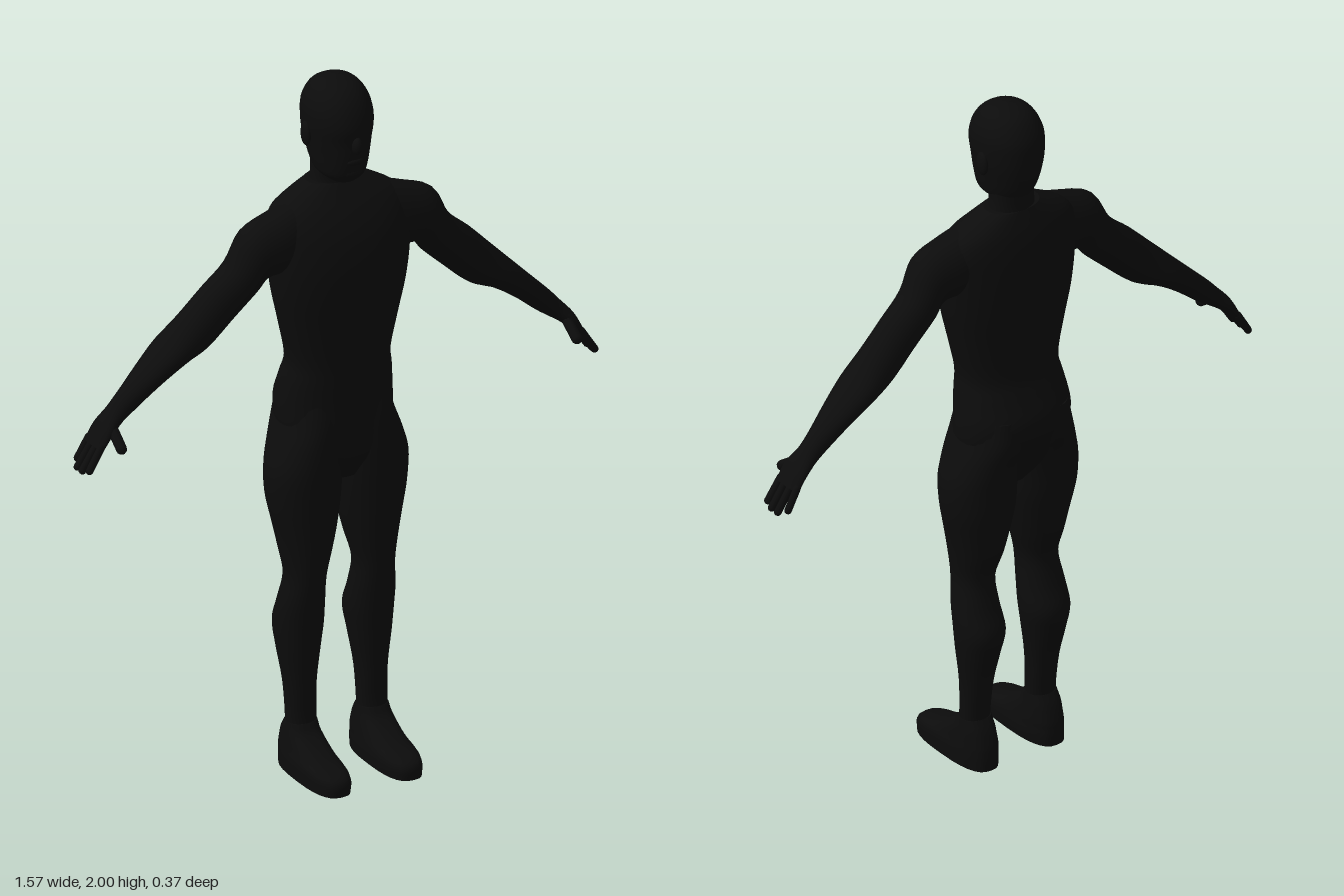
import * as THREE from 'three';

const skin = new THREE.MeshStandardMaterial({ color: 0x0c0c0c });
skin.name = 'matte black';

const V = (x, y, z) => new THREE.Vector3(x, y, z);

// Level cross-section at height y, from its extents in x and z
const level = (y, x0, x1, z0, z1) => ({
  c: V((x0 + x1) / 2, y, (z0 + z1) / 2), u: V((x1 - x0) / 2, 0, 0), v: V(0, 0, (z1 - z0) / 2),
});
// Symmetric level cross-section
const mid = (y, w, z0, z1) => level(y, -w, w, z0, z1);
// Slanted arm cross-section, from its outer and inner points plus depth in z
const slant = (xo, yo, xi, yi, z, h) => ({
  c: V((xo + xi) / 2, (yo + yi) / 2, z), u: V((xo - xi) / 2, (yo - yi) / 2, 0), v: V(0, 0, h),
});
const flip = (p) => V(-p.x, p.y, p.z);

// Smooth skin through superelliptic cross-sections, with closed ends
function loft(name, sections, { side = 1, power = 2, steps = 4, seg = 28 } = {}) {
  const s = side > 0 ? sections : sections.map((o) => ({ c: flip(o.c), u: flip(o.u), v: flip(o.v) }));
  const [C, U, W] = ['c', 'u', 'v'].map((k) => new THREE.CatmullRomCurve3(s.map((o) => o[k]), false, 'catmullrom', 0.5));
  const n = (s.length - 1) * steps;
  const path = s[s.length - 1].c.clone().sub(s[0].c);
  const sign = path.dot(s[0].v.clone().cross(s[0].u)) < 0 ? -1 : 1;
  const pos = [], idx = [];
  const ring = (t) => {
    const c = C.getPoint(t), u = U.getPoint(t), v = W.getPoint(t);
    const start = pos.length / 3;
    for (let j = 0; j < seg; j++) {
      const a = (j / seg) * Math.PI * 2;
      const bend = (k) => Math.sign(k) * Math.pow(Math.abs(k), 2 / power);
      const p = c.clone().addScaledVector(u, bend(Math.cos(a))).addScaledVector(v, sign * bend(Math.sin(a)));
      pos.push(p.x, p.y, p.z);
    }
    return start;
  };
  for (let i = 0; i <= n; i++) ring(i / n);
  for (let i = 0; i < n; i++) {
    for (let j = 0; j < seg; j++) {
      const a = i * seg + j, b = i * seg + ((j + 1) % seg);
      idx.push(a, a + seg, b, b, a + seg, b + seg);
    }
  }
  for (const t of [0, 1]) {
    const r = ring(t), c = C.getPoint(t), m = pos.length / 3;
    pos.push(c.x, c.y, c.z);
    for (let j = 0; j < seg; j++) {
      const a = r + j, b = r + ((j + 1) % seg);
      if (t) idx.push(m, b, a); else idx.push(m, a, b);
    }
  }
  const g = new THREE.BufferGeometry();
  g.setAttribute('position', new THREE.Float32BufferAttribute(pos, 3));
  g.setIndex(idx);
  g.computeVertexNormals();
  return part(name, g);
}

function part(name, geometry) {
  const m = new THREE.Mesh(geometry, skin);
  m.name = name;
  return m;
}

// Rounded bar between two points
function digit(name, a, b, r) {
  const m = part(name, new THREE.CapsuleGeometry(r, a.distanceTo(b) - r, 4, 10));
  m.position.copy(a).lerp(b, 0.5);
  m.quaternion.setFromUnitVectors(V(0, 1, 0), b.clone().sub(a).normalize());
  return m;
}

function blob(name, x, y, z, rx, ry, rz) {
  const m = part(name, new THREE.SphereGeometry(1, 16, 12));
  m.position.set(x, y, z);
  m.scale.set(rx, ry, rz);
  return m;
}

function arm(side) {
  const g = new THREE.Group();
  g.name = side > 0 ? 'leftArm' : 'rightArm';
  g.add(loft('armAndPalm', [
    slant(0.12, 1.67, 0.12, 1.49, -0.035, 0.07),
    slant(0.2, 1.645, 0.17, 1.47, -0.03, 0.072),
    slant(0.284, 1.61, 0.225, 1.465, -0.028, 0.066),
    slant(0.333, 1.525, 0.256, 1.43, -0.033, 0.06),
    slant(0.4, 1.465, 0.32, 1.37, -0.037, 0.057),
    slant(0.47, 1.395, 0.4, 1.3, -0.041, 0.06),
    slant(0.53, 1.335, 0.47, 1.268, -0.046, 0.065),
    slant(0.59, 1.275, 0.54, 1.222, -0.047, 0.053),
    slant(0.65, 1.215, 0.61, 1.165, -0.048, 0.037),
    slant(0.685, 1.176, 0.65, 1.137, -0.048, 0.035),
    slant(0.718, 1.138, 0.69, 1.108, -0.045, 0.045),
    slant(0.744, 1.088, 0.72, 1.074, -0.045, 0.046),
  ], { side }));
  // Fingers: z and tip position
  [[-0.085, 0.762, 1.03], [-0.059, 0.777, 1.018], [-0.032, 0.777, 1.018], [-0.006, 0.77, 1.025]].forEach(([z, x, y]) => {
    g.add(digit('finger', V(side * 0.725, 1.095, z * 0.9 - 0.005), V(side * x, y, z), 0.0105));
  });
  g.add(digit('thumb', V(side * 0.69, 1.13, -0.02), V(side * 0.692, 1.088, 0.038), 0.015));
  return g;
}

function leg(side) {
  const g = new THREE.Group();
  g.name = side > 0 ? 'leftLeg' : 'rightLeg';
  g.add(loft('legShaft', [
    level(0.07, 0.067, 0.152, -0.085, 0.02),
    level(0.14, 0.066, 0.15, -0.075, 0),
    level(0.25, 0.063, 0.153, -0.09, 0.001),
    level(0.35, 0.05, 0.166, -0.115, 0.01),
    level(0.42, 0.041, 0.172, -0.13, 0.018),
    level(0.49, 0.045, 0.169, -0.104, 0.028),
    level(0.57, 0.049, 0.159, -0.087, 0.04),
    level(0.65, 0.03, 0.17, -0.11, 0.05),
    level(0.72, 0.014, 0.184, -0.125, 0.056),
    level(0.8, 0.001, 0.2, -0.14, 0.061),
    level(0.88, -0.003, 0.203, -0.145, 0.065),
    level(0.95, -0.003, 0.185, -0.158, 0.066),
    level(1.02, 0, 0.16, -0.174, 0.063),
    level(1.09, 0.01, 0.145, -0.165, 0.05),
  ], { side, power: 2.15 }));
  g.add(loft('foot', [
    level(0, 0.053, 0.164, -0.113, 0.187),
    level(0.03, 0.051, 0.165, -0.114, 0.188),
    level(0.05, 0.053, 0.164, -0.113, 0.168),
    level(0.07, 0.056, 0.16, -0.11, 0.1),
    level(0.11, 0.062, 0.155, -0.095, 0.025),
    level(0.14, 0.066, 0.15, -0.075, 0),
  ], { side, power: 2.7 }));
  return g;
}

export function createModel() {
  const model = new THREE.Group();
  model.name = 'figure';

  model.add(loft('torso', [
    mid(0.85, 0.05, -0.09, 0.03),
    mid(0.92, 0.13, -0.14, 0.06),
    mid(1.0, 0.161, -0.168, 0.066),
    mid(1.07, 0.163, -0.181, 0.067),
    mid(1.14, 0.155, -0.155, 0.069),
    mid(1.2, 0.147, -0.136, 0.072),
    mid(1.3, 0.167, -0.14, 0.083),
    mid(1.4, 0.189, -0.15, 0.096),
    mid(1.48, 0.2, -0.153, 0.098),
    mid(1.55, 0.205, -0.15, 0.086),
    mid(1.6, 0.205, -0.143, 0.067),
    mid(1.64, 0.185, -0.133, 0.044),
    mid(1.67, 0.14, -0.122, 0.022),
    mid(1.7, 0.08, -0.11, 0),
  ], { power: 2.3, seg: 36 }));

  model.add(loft('neck', [
    mid(1.64, 0.08, -0.12, 0.02), mid(1.7, 0.066, -0.11, 0), mid(1.74, 0.062, -0.112, 0.005), mid(1.8, 0.062, -0.12, 0.01),
  ]));

  model.add(loft('head', [
    mid(1.715, 0.035, -0.05, 0.035),
    mid(1.735, 0.06, -0.1, 0.057),
    mid(1.76, 0.069, -0.122, 0.067),
    mid(1.8, 0.077, -0.138, 0.073),
    mid(1.84, 0.085, -0.146, 0.074),
    mid(1.88, 0.089, -0.149, 0.08),
    mid(1.92, 0.088, -0.146, 0.072),
    mid(1.955, 0.077, -0.13, 0.054),
    mid(1.98, 0.059, -0.107, 0.027),
    mid(1.994, 0.034, -0.075, -0.007),
    mid(2.0, 0.004, -0.044, -0.036),
  ], { power: 2.15, seg: 32 }));

  // Face details
  model.add(blob('nose', 0, 1.836, 0.072, 0.015, 0.026, 0.021));
  model.add(blob('lips', 0, 1.787, 0.067, 0.025, 0.01, 0.009));
  model.add(blob('chin', 0, 1.752, 0.05, 0.03, 0.018, 0.017));

  for (const side of [1, -1]) {
    model.add(blob('ear', side * 0.088, 1.845, -0.045, 0.011, 0.035, 0.022));
    model.add(arm(side), leg(side));
  }
  return model;
}
